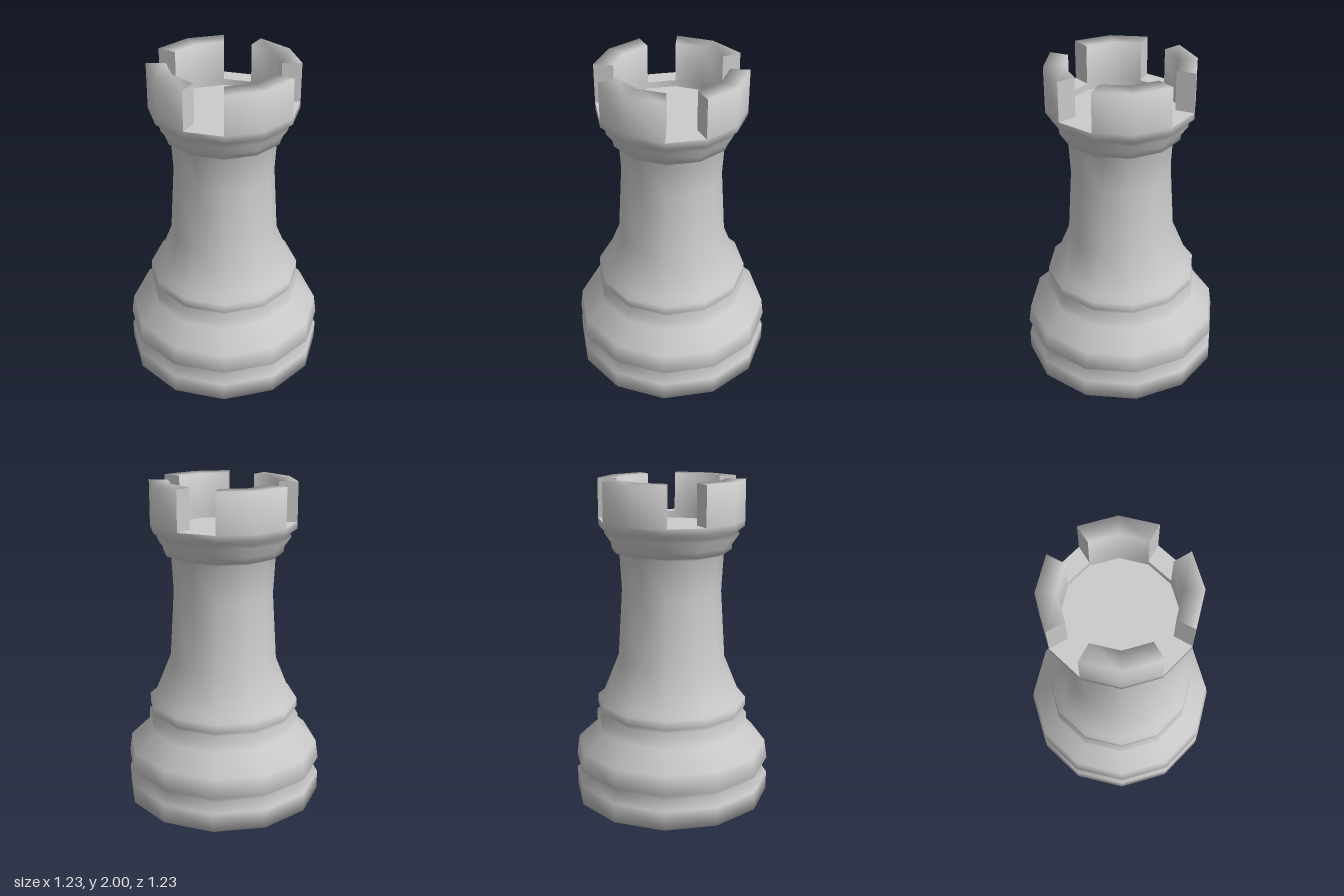
import * as THREE from 'three';

const SIDES = 12;
const OUTER = 0.445, INNER = 0.33;       // crown wall radii
const FLOOR = 1.72, SILL = 1.76, TOP = 2; // crown heights
const rad = THREE.MathUtils.degToRad;

const material = new THREE.MeshStandardMaterial({ color: 0xcccccc });

function addMesh(parent, name, geometry) {
  const mesh = new THREE.Mesh(geometry, material);
  mesh.name = name;
  parent.add(mesh);
  return mesh;
}

// Turns a [radius, height] profile, in full or over part of a circle
function turned(profile, segments = SIDES, start = 0, length = 360) {
  const points = profile.map(([r, y]) => new THREE.Vector2(r, y));
  return new THREE.LatheGeometry(points, segments, rad(start), rad(length));
}

export function createModel() {
  const model = new THREE.Group();
  model.name = 'rook';

  // Foot, mouldings, tapering column and flared collar
  addMesh(model, 'body', turned([
    [0, 0], [0.617, 0], [0.617, 0.12], [0.555, 0.165], [0.617, 0.22],
    [0.6, 0.34], [0.478, 0.455], [0.478, 0.525], [0.455, 0.55],
    [0.47, 0.575], [0.47, 0.63], [0.43, 0.66], [0.333, 0.9],
    [0.307, 1.32], [0.32, 1.555], [0.367, 1.577], [0.37, 1.61],
    [0.412, 1.67], [0.405, 1.69], [OUTER, FLOOR], [OUTER, SILL],
  ]));

  // Sunken floor inside the crown
  addMesh(model, 'crownFloor', turned([[INNER, FLOOR], [0, FLOOR]]));
  addMesh(model, 'crownFloorRim', turned([[INNER, SILL], [INNER, FLOOR]]));

  // Four battlements, each two sides wide, with a one-side notch between
  for (let i = 0; i < 4; i++) {
    const start = i * 90 - 30, end = start + 60;
    const battlement = new THREE.Group();
    battlement.name = 'battlement' + (i + 1);
    model.add(battlement);

    addMesh(battlement, 'battlementWall', turned(
      [[OUTER, SILL], [OUTER, TOP], [INNER, TOP], [INNER, SILL]], 2, start, 60));

    // Flat radial ends facing the notches
    for (const turn of [start - 90, end + 90]) {
      const cheek = addMesh(battlement, 'notchCheek',
        new THREE.PlaneGeometry(OUTER - INNER, TOP - SILL));
      const angle = rad(turn === start - 90 ? start : end);
      const r = (OUTER + INNER) / 2;
      cheek.position.set(r * Math.sin(angle), (TOP + SILL) / 2, r * Math.cos(angle));
      cheek.rotation.y = rad(turn);
    }

    addMesh(model, 'notchSill' + (i + 1),
      turned([[OUTER, SILL], [INNER, SILL]], 1, end, 30));
  }

  return model;
}
